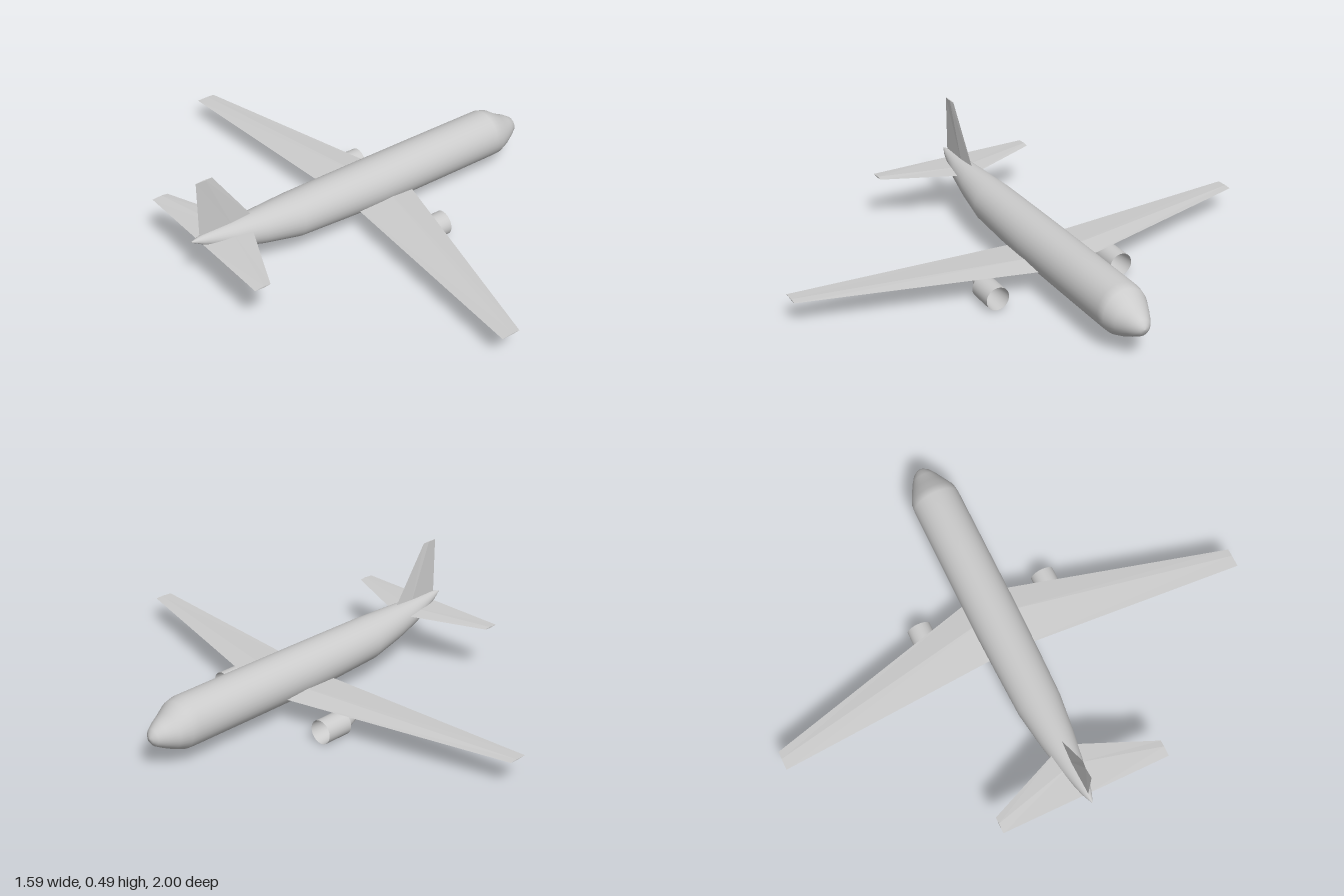
import * as THREE from 'three';

const smooth = new THREE.MeshStandardMaterial({ color: 0xcccccc });
const flat = new THREE.MeshStandardMaterial({ color: 0xcccccc, flatShading: true });
const creased = new THREE.MeshStandardMaterial({ color: 0xcccccc, side: THREE.DoubleSide });

// Skin closed rings of points into a capped solid
function loft(rings) {
  const n = rings[0].length, index = [];
  const last = (rings.length - 1) * n;
  for (let i = 0; i < rings.length - 1; i++) {
    for (let j = 0; j < n; j++) {
      const a = i * n + j, b = i * n + (j + 1) % n;
      index.push(a, b, a + n, b, b + n, a + n);
    }
  }
  for (let j = 1; j < n - 1; j++) {
    index.push(0, j + 1, j);
    index.push(last, last + j, last + j + 1);
  }
  const g = new THREE.BufferGeometry();
  g.setAttribute('position', new THREE.Float32BufferAttribute(rings.flat(2), 3));
  g.setIndex(index);
  g.computeVertexNormals();
  return g;
}

function addMesh(parent, name, geometry, material) {
  const m = new THREE.Mesh(geometry, material);
  m.name = name;
  parent.add(m);
  return m;
}

// Thin diamond aerofoil lying flat at one span station
function flatSection(z, lead, trail, y, t) {
  const ridge = lead + (trail - lead) * 0.4;
  return [[lead, y, z], [ridge, y + t, z], [trail, y, z], [ridge, y - t, z]];
}

// Same aerofoil standing upright
function uprightSection(y, lead, trail, t) {
  const ridge = lead + (trail - lead) * 0.4;
  return [[trail, y, 0], [ridge, y, t], [lead, y, 0], [ridge, y, -t]];
}

export function createModel() {
  const plane = new THREE.Group();
  plane.name = 'airliner';

  // Fuselage stations: x, bottom, top, half width
  const stations = [
    [-0.795, 0.236, 0.24, 0.002], [-0.75, 0.21, 0.25, 0.02], [-0.62, 0.145, 0.253, 0.05],
    [-0.5, 0.11, 0.255, 0.07], [-0.34, 0.076, 0.256, 0.091], [-0.15, 0.066, 0.256, 0.096],
    [0.04, 0.056, 0.256, 0.1], [0.35, 0.055, 0.256, 0.1], [0.63, 0.055, 0.255, 0.1],
    [0.665, 0.056, 0.245, 0.096], [0.71, 0.072, 0.213, 0.076], [0.75, 0.091, 0.195, 0.054],
    [0.78, 0.108, 0.176, 0.034], [0.793, 0.124, 0.158, 0.017], [0.797, 0.139, 0.143, 0.002],
  ];
  const sides = 32;
  const rings = stations.map(([x, lo, hi, w]) => Array.from({ length: sides }, (_, j) => {
    const a = (j / sides) * Math.PI * 2;
    return [x, (lo + hi) / 2 + Math.cos(a) * (hi - lo) / 2, Math.sin(a) * w];
  }));
  addMesh(plane, 'fuselage', loft(rings), smooth);

  // Main wing and tailplane, tip to tip
  addMesh(plane, 'wings', loft([
    flatSection(-1, -0.06, -0.14, 0.11, 0.002),
    flatSection(0, 0.207, -0.07, 0.11, 0.012),
    flatSection(1, -0.06, -0.14, 0.11, 0.002),
  ]), flat);
  addMesh(plane, 'tailplane', loft([
    flatSection(-0.353, -0.685, -0.752, 0.212, 0.003),
    flatSection(0, -0.535, -0.752, 0.212, 0.005),
    flatSection(0.353, -0.685, -0.752, 0.212, 0.003),
  ]), flat);

  // Tail fin, rooted inside the fuselage
  addMesh(plane, 'tailFin', loft([
    uprightSection(0.235, -0.52, -0.76, 0.005),
    uprightSection(0.486, -0.69, -0.76, 0.003),
  ]), flat);

  // Engines: hollow nacelle with an exhaust cone behind
  for (const [name, z] of [['leftEngine', -0.284], ['rightEngine', 0.274]]) {
    const engine = new THREE.Group();
    engine.name = name;
    engine.position.set(0, 0.049, z);
    engine.rotation.z = -Math.PI / 2;
    plane.add(engine);
    const nacelle = addMesh(engine, 'nacelle',
      new THREE.CylinderGeometry(0.049, 0.049, 0.117, 28, 1, true), creased);
    nacelle.position.y = 0.1365;
    const liner = addMesh(engine, 'intake',
      new THREE.CylinderGeometry(0.048, 0.036, 0.115, 28, 1, true), creased);
    liner.position.y = 0.1365;
    const rear = addMesh(engine, 'nacelleBack', new THREE.CircleGeometry(0.049, 28), creased);
    rear.rotation.x = Math.PI / 2;
    rear.position.y = 0.079;
    const cone = addMesh(engine, 'exhaustCone',
      new THREE.CylinderGeometry(0.038, 0.01, 0.08, 28), smooth);
    cone.position.y = 0.04;
  }
  return plane;
}
